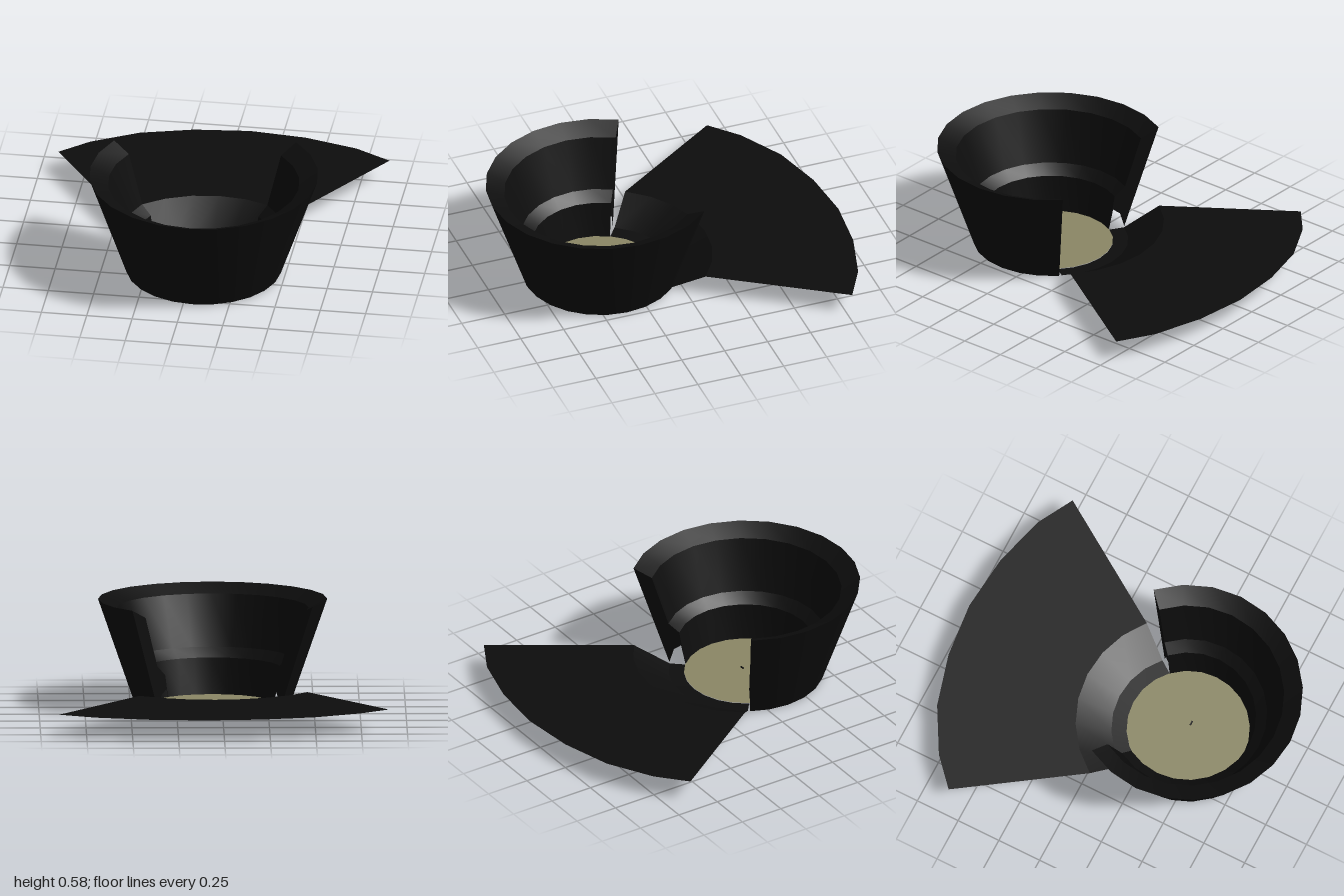
import * as THREE from 'three';
import { toCreasedNormals } from 'three/addons/utils/BufferGeometryUtils.js';

const rad = THREE.MathUtils.degToRad;
const black = new THREE.MeshStandardMaterial({ color: 0x0d0d0d });
const blackThin = new THREE.MeshStandardMaterial({ color: 0x0d0d0d, side: THREE.DoubleSide });
const olive = new THREE.MeshStandardMaterial({ color: 0x8c8866, side: THREE.DoubleSide });

// Section of the thick wall: [radius, height]
const profile = [
  [0.335, 0.0], [0.425, 0.005], [0.625, 0.58], [0.523, 0.53],
  [0.43, 0.25], [0.37, 0.2], [0.335, 0.0],
].map(([r, y]) => new THREE.Vector2(r, y));

// Section of the wall's cut ends, notched at the foot
const endSection = [
  [0.425, 0.005], [0.625, 0.58], [0.523, 0.53], [0.43, 0.25],
  [0.37, 0.2], [0.335, 0.0], [0.36, 0.12], [0.4, 0.09],
].map(([r, y]) => new THREE.Vector2(r, y));

// Surface joining rows of equally many points
function sheet(rows) {
  const n = rows[0].length, index = [];
  for (let i = 0; i < rows.length - 1; i++) {
    for (let j = 0; j < n - 1; j++) {
      const a = i * n + j, b = a + n;
      index.push(a, a + 1, b, a + 1, b + 1, b);
    }
  }
  const g = new THREE.BufferGeometry();
  g.setAttribute('position', new THREE.Float32BufferAttribute(rows.flat(2), 3));
  g.setIndex(index);
  return toCreasedNormals(g, rad(10));
}

// Arc of eight points around the bowl's axis; angles run from +x towards the back
function arc(r, y, from, to) {
  return Array.from({ length: 8 }, (_, i) => {
    const a = rad(from + (to - from) * i / 7);
    return [r * Math.cos(a), y, -r * Math.sin(a)];
  });
}

export function createModel() {
  const group = new THREE.Group();
  const bowl = new THREE.Group();
  bowl.name = 'bowl';
  bowl.position.set(0.05, 0, 0.37);
  group.add(bowl);
  const add = (name, geometry, material) => {
    const mesh = new THREE.Mesh(geometry, material);
    mesh.name = name;
    bowl.add(mesh);
    return mesh;
  };

  // Wall with a gap of seven of its 24 segments at the back
  const wall = new THREE.LatheGeometry(profile, 17, rad(240), rad(255));
  add('wall', toCreasedNormals(wall, rad(25)), black);
  for (const phi of [135, 240]) {
    const end = new THREE.ShapeGeometry(new THREE.Shape(endSection));
    add('wallEnd', end.rotateY(rad(phi - 90)), blackThin);
  }

  // Floor disc and the tiny mark at its middle
  add('floor', new THREE.CircleGeometry(0.337, 24).rotateX(-Math.PI / 2), olive).position.y = 0.003;
  add('floorMark', new THREE.BoxGeometry(0.025, 0.008, 0.008), black).position.set(0.035, 0.004, 0);

  // Flap: slopes up from the foot, then fans out level
  const fanEdge = [
    [0.9, -0.78], [0.7, -0.89], [0.41, -0.97], [0.1, -1.0],
    [-0.205, -0.97], [-0.495, -0.89], [-0.745, -0.75], [-0.9, -0.61],
  ].map(([x, z]) => [x - bowl.position.x, 0.115, z - bowl.position.z]);
  add('flap', sheet([
    arc(0.337, 0.0, 45, 150),
    arc(0.42, 0.005, 47, 148.5),
    arc(0.615, 0.115, 49, 146.5),
    fanEdge,
  ]), blackThin);

  return group;
}
